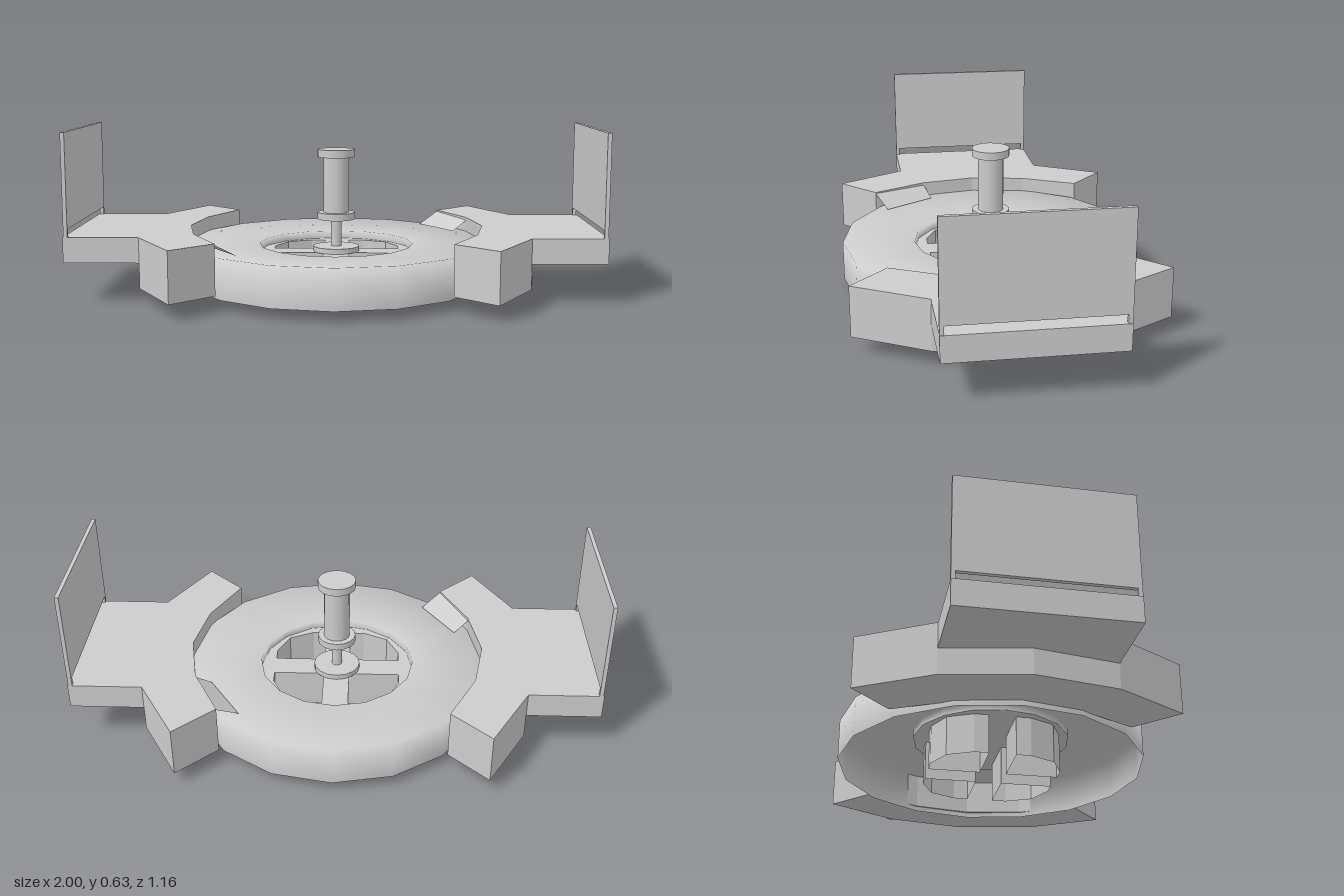
import * as THREE from 'three';

const grey = new THREE.MeshStandardMaterial({ color: 0xcccccc, side: THREE.DoubleSide });
grey.name = 'plain grey';

function add(parent, name, geometry, x = 0, y = 0, z = 0) {
  const mesh = new THREE.Mesh(geometry, grey);
  mesh.name = name;
  mesh.position.set(x, y, z);
  parent.add(mesh);
  return mesh;
}

const lathe = (pts, sides) =>
  new THREE.LatheGeometry(pts.map(([r, y]) => new THREE.Vector2(r, y)), sides);

// Plan outline given as [x, z] pairs
const plan = pts => pts.map(([x, z]) => new THREE.Vector2(x, -z));

function slab(pts, y0, y1) {
  const g = new THREE.ExtrudeGeometry(new THREE.Shape(plan(pts)), { depth: y1 - y0, bevelEnabled: false });
  return g.rotateX(-Math.PI / 2).translate(0, y0, 0);
}

// Open vertical walls following a closed outline
function walls(pts, y0, y1) {
  const pos = [];
  pts.forEach(([x, z], i) => {
    const [u, w] = pts[(i + 1) % pts.length];
    pos.push(x, y0, z, x, y1, z, u, y1, w, x, y0, z, u, y1, w, u, y0, w);
  });
  const g = new THREE.BufferGeometry();
  g.setAttribute('position', new THREE.Float32BufferAttribute(pos, 3));
  g.computeVertexNormals();
  return g;
}

const circle = (r, n) => Array.from({ length: n }, (_, i) => {
  const a = i / n * Math.PI * 2;
  return [r * Math.sin(a), r * Math.cos(a)];
});

function makeArm() {
  const arm = new THREE.Group();
  // curved block hugging the ring
  const inner = [[0.425, -0.43], [0.53, -0.22], [0.57, 0], [0.53, 0.22], [0.425, 0.43]];
  add(arm, 'armBlock', slab([[0.57, 0.57], [0.72, 0.305], [0.775, 0], [0.72, -0.305], [0.57, -0.57], ...inner], 0.06, 0.25));
  // outer platform
  add(arm, 'platform', new THREE.BoxGeometry(0.3, 0.095, 0.61), 0.85, 0.2025, 0);
  // lip sloping down onto the ring
  const lip = new THREE.BufferGeometry();
  lip.setAttribute('position', new THREE.Float32BufferAttribute([
    0.425, 0.245, -0.43, 0.35, 0.197, -0.385, 0.475, 0.197, -0.19, 0.54, 0.245, -0.22], 3));
  lip.setIndex([0, 1, 2, 0, 2, 3]);
  lip.computeVertexNormals();
  add(arm, 'lip', lip);
  // upright end panel on two corner posts
  add(arm, 'endPanel', new THREE.BoxGeometry(0.015, 0.355, 0.61), 0.989, 0.4575, 0);
  for (const s of [-1, 1])
    add(arm, 'panelPost', new THREE.BoxGeometry(0.015, 0.035, 0.015), 0.989, 0.265, s * 0.2975);
  return arm;
}

export function createModel() {
  const model = new THREE.Group();

  // ring shell, open underneath
  add(model, 'ring', lathe([[0.58, 0.04], [0.58, 0.193], [0.3, 0.18], [0.3, 0.15]], 16));

  // floor with four quadrant wells running down to the ground
  const quarter = [[0.05, 0.05], [0.245, 0.05], [0.245, 0.105], [0.2, 0.2], [0.105, 0.245], [0.05, 0.245]];
  const floor = new THREE.Shape(plan(circle(0.3, 16)));
  for (const sx of [-1, 1]) for (const sz of [-1, 1]) {
    const pts = quarter.map(([x, z]) => [x * sx, z * sz]);
    if (sx * sz < 0) pts.reverse();
    floor.holes.push(new THREE.Path(plan(pts)));
    add(model, 'well', walls(pts, 0, 0.15));
  }
  add(model, 'floor', new THREE.ShapeGeometry(floor).rotateX(-Math.PI / 2), 0, 0.15, 0);

  // central hub, shaft and spool
  add(model, 'hub', new THREE.CylinderGeometry(0.09, 0.09, 0.02, 16), 0, 0.16, 0);
  add(model, 'shaft', new THREE.CylinderGeometry(0.02, 0.02, 0.13, 12), 0, 0.225, 0);
  add(model, 'lowerFlange', new THREE.CylinderGeometry(0.073, 0.073, 0.027, 16), 0, 0.29, 0);
  add(model, 'barrel', new THREE.CylinderGeometry(0.05, 0.05, 0.23, 16), 0, 0.41, 0);
  add(model, 'upperFlange', new THREE.CylinderGeometry(0.073, 0.073, 0.03, 16), 0, 0.535, 0);

  // two arms, turned half a circle apart
  for (const [name, turn] of [['leftArm', 0], ['rightArm', Math.PI]]) {
    const arm = makeArm();
    arm.name = name;
    arm.rotation.y = turn;
    model.add(arm);
  }
  return model;
}
